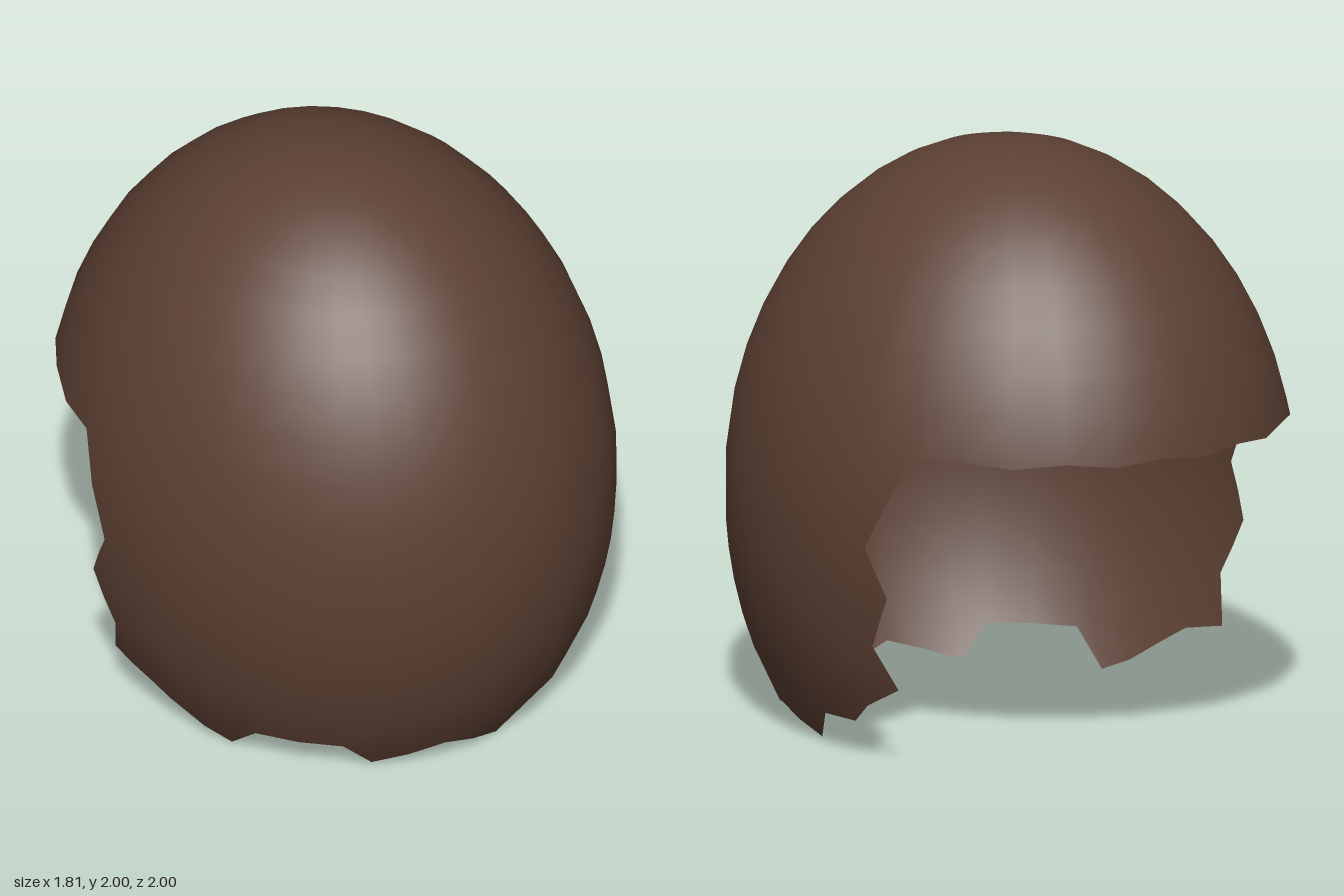
import * as THREE from 'three';

// Egg-shaped shell: semi-axes and centre
const A = 0.905, B = 1.23, C = 1.019, CY = 0.77, CZ = -0.019;
const HEM = 1.09, CORNER = 1.82;

// Jagged lower rim as [angle from the front, height]
const RIM = [
  [-1.84, 0.21], [-1.64, 0.17], [-1.55, 0.12], [-1.41, 0.04], [-1.29, 0.0], [-1.146, 0.12],
  [-0.779, 0.12], [-0.649, 0.01], [-0.326, 0.08], [0, 0.0], [0.13, 0.12], [0.506, 0.11],
  [0.614, 0.01], [0.951, 0.08], [1.273, 0.01], [1.398, 0.12], [1.571, 0.12], [1.66, 0.19], [1.82, 0.27],
];
// Zigzag side edge of the opening as [height, angle]
const SIDE = [[0.27, CORNER], [0.42, 1.736], [0.6, 1.812], [0.77, 1.729], [HEM, 1.892]];

function sample(list, x) {
  if (x <= list[0][0]) return list[0][1];
  for (let i = 1; i < list.length; i++) {
    const [x0, y0] = list[i - 1], [x1, y1] = list[i];
    if (x <= x1) return y0 + (y1 - y0) * (x - x0) / (x1 - x0);
  }
  return list[list.length - 1][1];
}

// Split each gap of a sorted list into steps no longer than max
function subdivide(values, max) {
  const out = [values[0]];
  for (let i = 1; i < values.length; i++) {
    const a = values[i - 1], b = values[i], n = Math.ceil((b - a) / max);
    for (let k = 1; k <= n; k++) out.push(a + (b - a) * k / n);
  }
  return out;
}

// Bend columns near the opening so that their ends follow the zigzag
const bend = (t, y) =>
  t + Math.sign(t) * (sample(SIDE, y) - CORNER) * Math.pow(Math.abs(t) / CORNER, 6);

// Surface grid from columns and rows; at(i, j) gives [angle, height]
function shell(cols, rows, at) {
  const pos = [], nor = [], idx = [];
  const n = new THREE.Vector3();
  for (let j = 0; j < rows; j++) {
    for (let i = 0; i < cols; i++) {
      const [t, y] = at(i, j);
      const h = (y - CY) / B, s = Math.sqrt(Math.max(0, 1 - h * h));
      const sx = Math.sin(t) * s, sz = Math.cos(t) * s;
      pos.push(A * sx, y, CZ + C * sz);
      n.set(sx / A, h / B, sz / C).normalize();
      nor.push(n.x, n.y, n.z);
      if (i < cols - 1 && j < rows - 1) {
        const a = j * cols + i, d = a + cols;
        idx.push(a, a + 1, d + 1);
        if (j < rows - 2 || y < HEM) idx.push(a, d + 1, d);
        else idx.push(a, d + 1, d);
      }
    }
  }
  const g = new THREE.BufferGeometry();
  g.setAttribute('position', new THREE.Float32BufferAttribute(pos, 3));
  g.setAttribute('normal', new THREE.Float32BufferAttribute(nor, 3));
  g.setIndex(idx);
  return g;
}

export function createModel() {
  const group = new THREE.Group();
  group.name = 'shell';
  const brown = new THREE.MeshStandardMaterial({ color: 0x5c4033, side: THREE.DoubleSide });
  brown.name = 'dark brown';

  const add = (name, geometry) => {
    const mesh = new THREE.Mesh(geometry, brown);
    mesh.name = name;
    group.add(mesh);
  };

  // Front and sides, from the jagged rim up to the hem
  const cols = subdivide(RIM.map((p) => p[0]), 0.2);
  const levels = subdivide(SIDE.map((p) => (p[0] - 0.27) / (HEM - 0.27)), 0.2);
  add('lowerShell', shell(cols.length, levels.length, (i, j) => {
    const t = cols[i], low = sample(RIM, t);
    const y = low + (HEM - low) * levels[j];
    // Heights at the two ends are read as if both started at the same corner
    const key = Math.abs(t) > 1.8 ? 0.27 + (HEM - 0.27) * levels[j] : y;
    return [bend(t, key), y];
  }));

  // Dome over the whole top, with a slightly uneven hem at the back
  const front = cols.map((t) => bend(t, HEM));
  const first = front[front.length - 1], last = front[0] + 2 * Math.PI;
  const around = front.concat(subdivide([first, last], 0.2).slice(1));
  const rings = 10, phi0 = Math.asin((HEM - CY) / B);
  add('upperDome', shell(around.length, rings + 1, (i, j) => {
    const phi = phi0 + (Math.PI / 2 - phi0) * j / rings;
    const back = j === 0 && i >= front.length && i < around.length - 1;
    const drop = back ? (i % 2 ? 0.012 : -0.004) : 0;
    return [around[i], CY + B * Math.sin(phi) - drop];
  }));

  return group;
}
